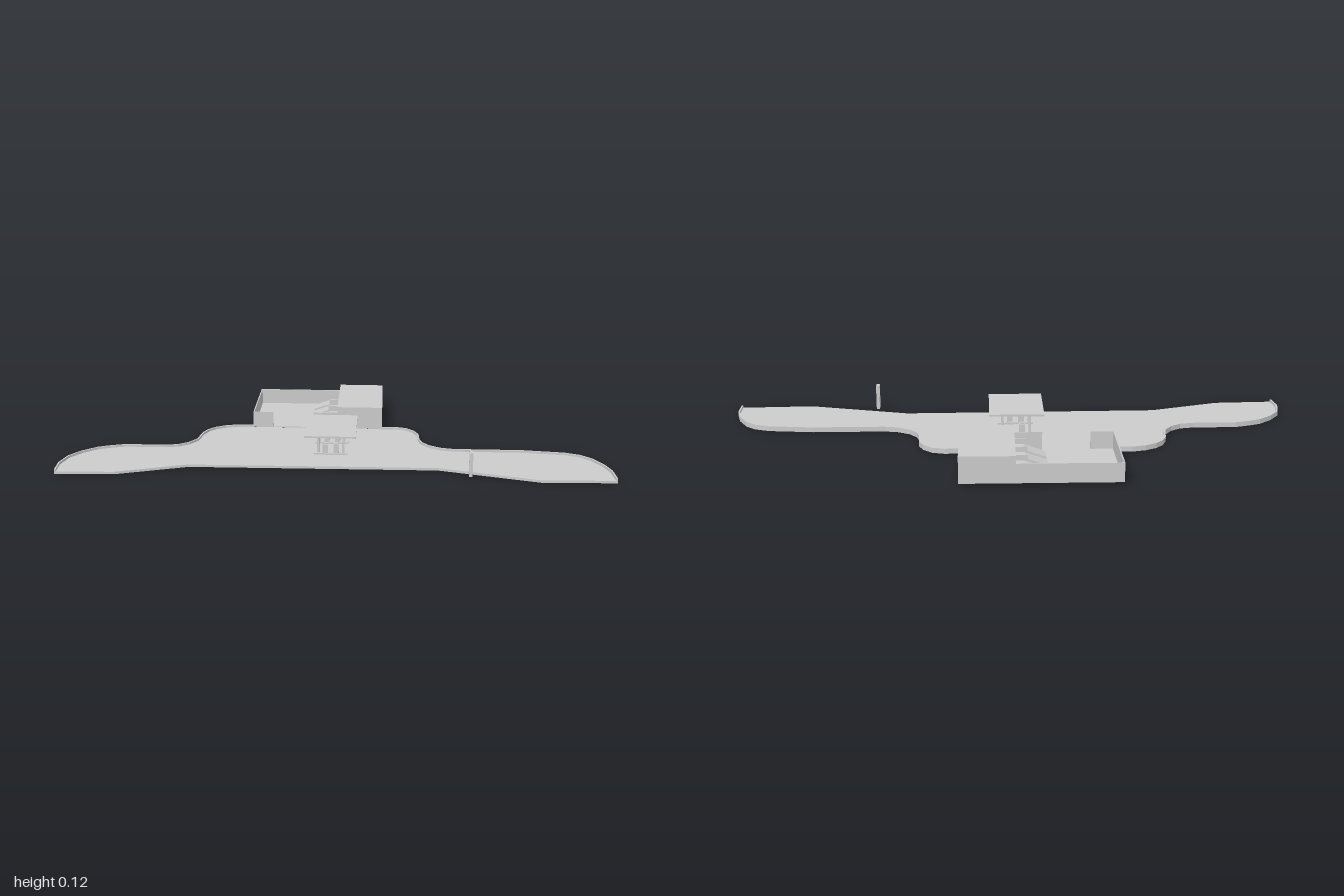
import * as THREE from 'three';

const grey = new THREE.MeshStandardMaterial({ color: 0xcccccc, flatShading: true, side: THREE.DoubleSide });
const TURN = -0.648; // everything stands at this angle on the plot

// Plot edges as [x, z]: two wavy kerbed ends and a straight street side
const westEdge = [
  [-1, -0.535], [-0.95, -0.61], [-0.88, -0.67], [-0.805, -0.695], [-0.725, -0.703], [-0.67, -0.69],
  [-0.607, -0.668], [-0.463, -0.56], [-0.41, -0.535], [-0.355, -0.535], [-0.3, -0.556], [-0.238, -0.62],
  [-0.195, -0.647], [-0.147, -0.658], [-0.094, -0.652], [-0.04, -0.63], [0.02, -0.583],
];
const eastEdge = [
  [0.5, -0.22], [0.553, -0.187], [0.585, -0.144], [0.592, -0.09], [0.58, -0.043], [0.537, 0.02],
  [0.521, 0.06], [0.521, 0.112], [0.543, 0.166], [0.58, 0.21], [0.82, 0.39], [0.955, 0.52],
  [0.99, 0.578], [1, 0.64], [0.987, 0.727], [0.96, 0.797], [0.906, 0.877],
];
const streetEdge = [[0.65, 0.7], [0.382, 0.342], [-0.484, -0.294], [-0.789, -0.39]];

function mesh(parent, name, geometry) {
  const m = new THREE.Mesh(geometry, grey);
  m.name = name;
  parent.add(m);
  return m;
}

// Box given by its limits on each axis
function box(parent, name, x0, x1, y0, y1, z0, z1) {
  const m = mesh(parent, name, new THREE.BoxGeometry(x1 - x0, y1 - y0, z1 - z0));
  m.position.set((x0 + x1) / 2, (y0 + y1) / 2, (z0 + z1) / 2);
  return m;
}

// Upright extrusion of an [x, z] outline standing on y = 0
function slab(parent, name, points, height) {
  const shape = new THREE.Shape(points.map(([x, z]) => new THREE.Vector2(x, -z)));
  const g = new THREE.ExtrudeGeometry(shape, { depth: height, bevelEnabled: false });
  return mesh(parent, name, g.rotateX(-Math.PI / 2));
}

// Points of an edge moved towards the inside of the plot
function inset(points, d) {
  return points.map(([x, z], i) => {
    const a = points[Math.max(i - 1, 0)], b = points[Math.min(i + 1, points.length - 1)];
    const dx = b[0] - a[0], dz = b[1] - a[1], l = Math.hypot(dx, dz);
    return [x - (dz / l) * d, z + (dx / l) * d];
  });
}

function turnedGroup(parent, name, x, z) {
  const g = new THREE.Group();
  g.name = name;
  g.position.set(x, 0, z);
  g.rotation.y = TURN;
  parent.add(g);
  return g;
}

export function createModel() {
  const model = new THREE.Group();
  model.name = 'fillingStation';

  // Ground and kerbs
  slab(model, 'forecourt', [...westEdge, ...eastEdge, ...streetEdge], 0.011);
  slab(model, 'westKerb', [...westEdge, ...inset(westEdge, 0.007).reverse()], 0.021);
  slab(model, 'eastKerb', [...eastEdge, ...inset(eastEdge, 0.007).reverse()], 0.021);

  // Building: a closed tall block beside an open-topped shop
  const b = turnedGroup(model, 'building', 0.374, -0.554);
  const X = 0.3035, Z = 0.19, mid = 0.093, t = 0.005, y0 = 0.011, low = 0.086;
  box(b, 'tallBlock', mid, X, y0, 0.115, -Z, Z);
  box(b, 'shopFloor', -X, mid, y0, 0.015, -Z, Z);
  box(b, 'shopBackWall', -X, mid, y0, low, -Z, -Z + t);
  box(b, 'shopSideWall', -X, -X + t, y0, low, -Z, Z);
  box(b, 'shopFrontWallLeft', -X, -X + 0.095, y0, low, Z - t, Z);
  box(b, 'shopFrontWallRight', -X + 0.285, mid, y0, low, Z - t, Z);

  // Sloping display stands between low partitions along the tall block
  const wedge = new THREE.Shape([[-0.03, 0.015], [mid, 0.015], [mid, 0.055], [0.055, 0.055], [-0.03, 0.025]]
    .map(([x, y]) => new THREE.Vector2(x, y)));
  for (let i = 0; i < 3; i++) {
    const z = -0.11 + i * 0.098;
    const stand = mesh(b, 'displayStand', new THREE.ExtrudeGeometry(wedge, { depth: 0.07, bevelEnabled: false }));
    stand.position.z = z - 0.025;
    box(b, 'standPartition', 0.045, mid, 0.015, 0.075, z + 0.05, z + 0.053);
  }

  // Canopy over two pump islands
  const c = turnedGroup(model, 'canopy', 0.15, -0.127);
  box(c, 'canopyRoof', -0.112, 0.112, 0.11, 0.118, -0.155, 0.155);
  for (const z of [-0.075, 0.075]) {
    box(c, 'pumpIsland', -0.075, 0.075, 0.011, 0.018, z - 0.016, z + 0.016);
    for (const s of [-1, 1]) {
      box(c, 'canopyColumn', s * 0.056 - 0.005, s * 0.056 + 0.005, 0.011, 0.11, z - 0.005, z + 0.005);
      box(c, 'pump', s * 0.024 - 0.012, s * 0.024 + 0.012, 0.018, 0.055, z - 0.01, z + 0.01);
      box(c, 'pumpHead', s * 0.024 - 0.009, s * 0.024 + 0.009, 0.055, 0.062, z - 0.006, z + 0.006);
    }
  }

  // Roadside price board: panel held in a frame
  const p = turnedGroup(model, 'priceBoard', 0.436, 0.49);
  box(p, 'boardPanel', -0.005, 0.005, 0.015, 0.112, -0.013, 0.013);
  for (const s of [-1, 1]) box(p, 'boardPost', -0.007, 0.007, 0.011, 0.117, s * 0.0145 - 0.002, s * 0.0145 + 0.002);
  box(p, 'boardTop', -0.007, 0.007, 0.112, 0.117, -0.0125, 0.0125);

  return model;
}
